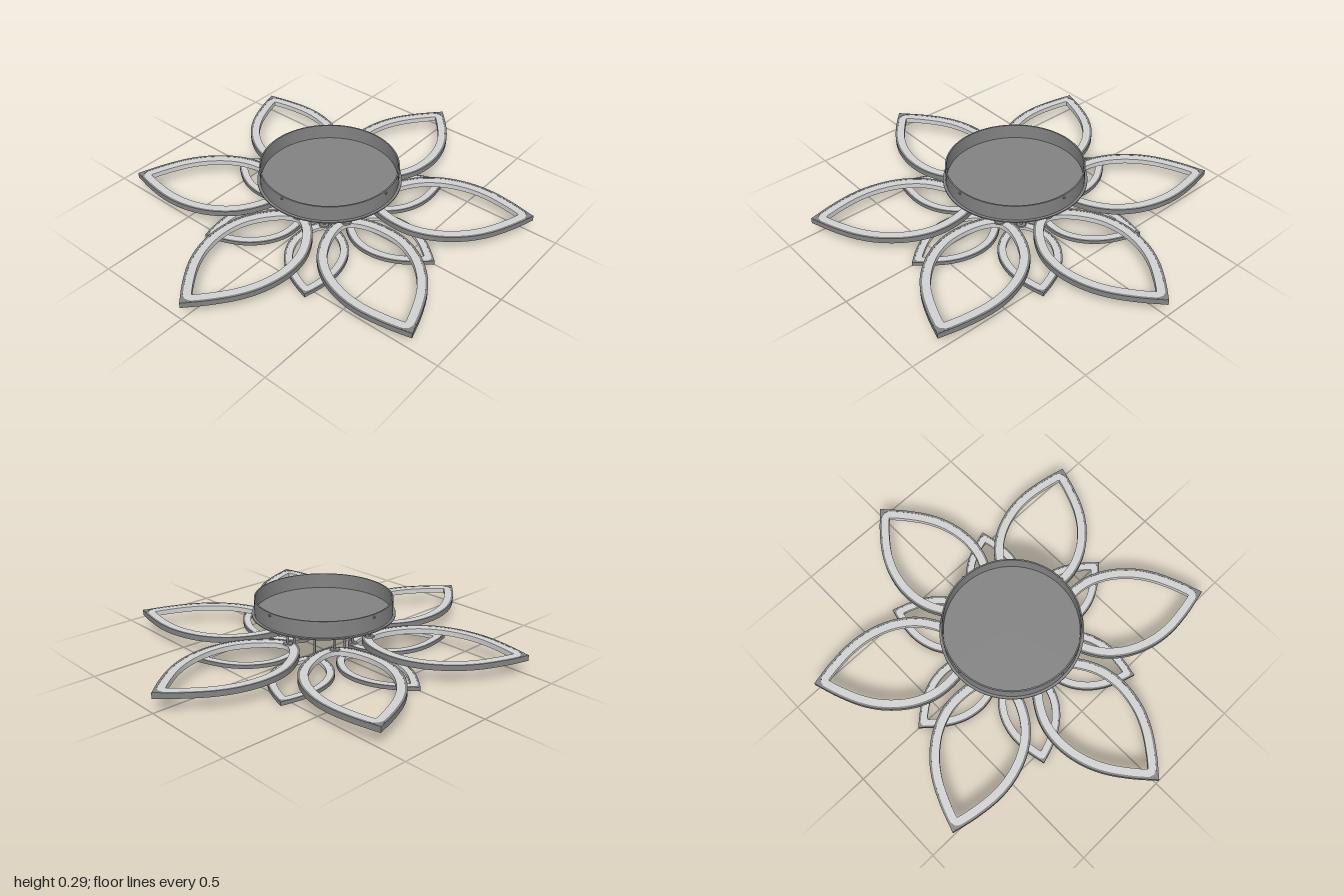
import * as THREE from 'three';
import { toCreasedNormals } from 'three/addons/utils/BufferGeometryUtils.js';

const metal = new THREE.MeshStandardMaterial({ color: 0x838383 });
metal.name = 'grey metal';
const diffuser = new THREE.MeshStandardMaterial({ color: 0xd2d2d2 });
diffuser.name = 'pale diffuser';

// Half outline of a large petal, from tip to rounded base: distance from centre, half width
const half = [[1, 0], [0.9, 0.09], [0.79, 0.168], [0.68, 0.215], [0.55, 0.235],
  [0.42, 0.215], [0.3, 0.148], [0.225, 0.07], [0.2, 0]];

function add(parent, geometry, material, name) {
  const mesh = new THREE.Mesh(geometry, material);
  mesh.name = name;
  parent.add(mesh);
  return mesh;
}

// Petal outline moved inward by d, with a sharp mitred tip
function outline(place, d) {
  const pts = half.map(place);
  const mirrored = pts.slice(0, -1).reverse().map(p => new THREE.Vector3(p.x, -p.y, 0));
  const curve = new THREE.CatmullRomCurve3([...pts, ...mirrored]);
  const t0 = curve.getTangent(0);
  const tip = pts[0].x - d / Math.abs(t0.y);
  const result = [new THREE.Vector2(tip, 0)];
  const n = 96;
  for (let i = 1; i < n; i++) {
    const p = curve.getPoint(i / n), t = curve.getTangent(i / n);
    const x = p.x - t.y * d, y = p.y + t.x * d;
    const side = i < n / 2 ? y : -y;
    if (i === n / 2 || (side > 0.002 && x < tip)) result.push(new THREE.Vector2(x, y));
  }
  return result;
}

function extrude(points, hole, height) {
  const shape = new THREE.Shape(points);
  if (hole) shape.holes.push(new THREE.Path(hole));
  const g = new THREE.ExtrudeGeometry(shape, { depth: height, bevelEnabled: false });
  g.rotateX(-Math.PI / 2);
  return toCreasedNormals(g, 0.5);
}

function petalSet(root, name, { tip, base, band, edge, y, height, postRadius, offset }) {
  const s = (tip - base) / 0.8;
  const place = ([x, w]) => new THREE.Vector3(base + (x - 0.2) * s, w * s, 0);
  const outer = outline(place, 0), middle = outline(place, edge), inner = outline(place, band);
  const frameGeo = extrude(outer, middle, height);
  const lightGeo = extrude(middle, inner, height - 0.002);
  // Small solid corner covering the petal tip
  const cut = 0.045 * s;
  const capGeo = extrude([new THREE.Vector2(tip - 0.001, 0), new THREE.Vector2(tip - cut, cut * 0.8),
    new THREE.Vector2(tip - cut * 0.75, 0), new THREE.Vector2(tip - cut, -cut * 0.8)], null, height + 0.001);
  const top = y + height, length = 0.2 - top;

  for (let i = 0; i < 6; i++) {
    const petal = new THREE.Group();
    petal.name = name;
    petal.rotation.y = offset + i * Math.PI / 3;
    add(petal, frameGeo, metal, 'petalFrame').position.y = y;
    add(petal, lightGeo, diffuser, 'petalDiffuser').position.y = y + 0.001;
    add(petal, capGeo, metal, 'petalTip').position.y = y;
    // Hanging rod with a foot and a collar
    add(petal, new THREE.CylinderGeometry(0.006, 0.006, length, 16), metal, 'rod')
      .position.set(postRadius, top + length / 2, 0);
    add(petal, new THREE.CylinderGeometry(0.022, 0.025, 0.006, 20), metal, 'rodFoot')
      .position.set(postRadius, top + 0.003, 0);
    add(petal, new THREE.CylinderGeometry(0.011, 0.011, 0.012, 16), metal, 'rodCollar')
      .position.set(postRadius, 0.194, 0);
    root.add(petal);
  }
}

export function createModel() {
  const root = new THREE.Group();
  root.name = 'petalCeilingLamp';

  // Open-topped ceiling canopy with a thin brim
  const profile = [[0, 0.2], [0.354, 0.2], [0.354, 0.206], [0.341, 0.206], [0.341, 0.286],
    [0.334, 0.286], [0.334, 0.21], [0, 0.21]].map(p => new THREE.Vector2(...p));
  add(root, toCreasedNormals(new THREE.LatheGeometry(profile, 72), 0.5), metal, 'canopy');

  // Side screws
  for (let i = 0; i < 4; i++) {
    const a = i * Math.PI / 2;
    const g = new THREE.CylinderGeometry(0.006, 0.006, 0.008, 12).rotateX(Math.PI / 2);
    const screw = add(root, g, metal, 'screw');
    screw.position.set(Math.sin(a) * 0.343, 0.273, Math.cos(a) * 0.343);
    screw.rotation.y = a;
  }

  petalSet(root, 'largePetal', { tip: 1, base: 0.2, band: 0.048, edge: 0.011, y: 0.07,
    height: 0.028, postRadius: 0.235, offset: Math.PI / 6 });
  petalSet(root, 'smallPetal', { tip: 0.64, base: 0.128, band: 0.04, edge: 0.009, y: 0,
    height: 0.019, postRadius: 0.15, offset: 0 });
  return root;
}
